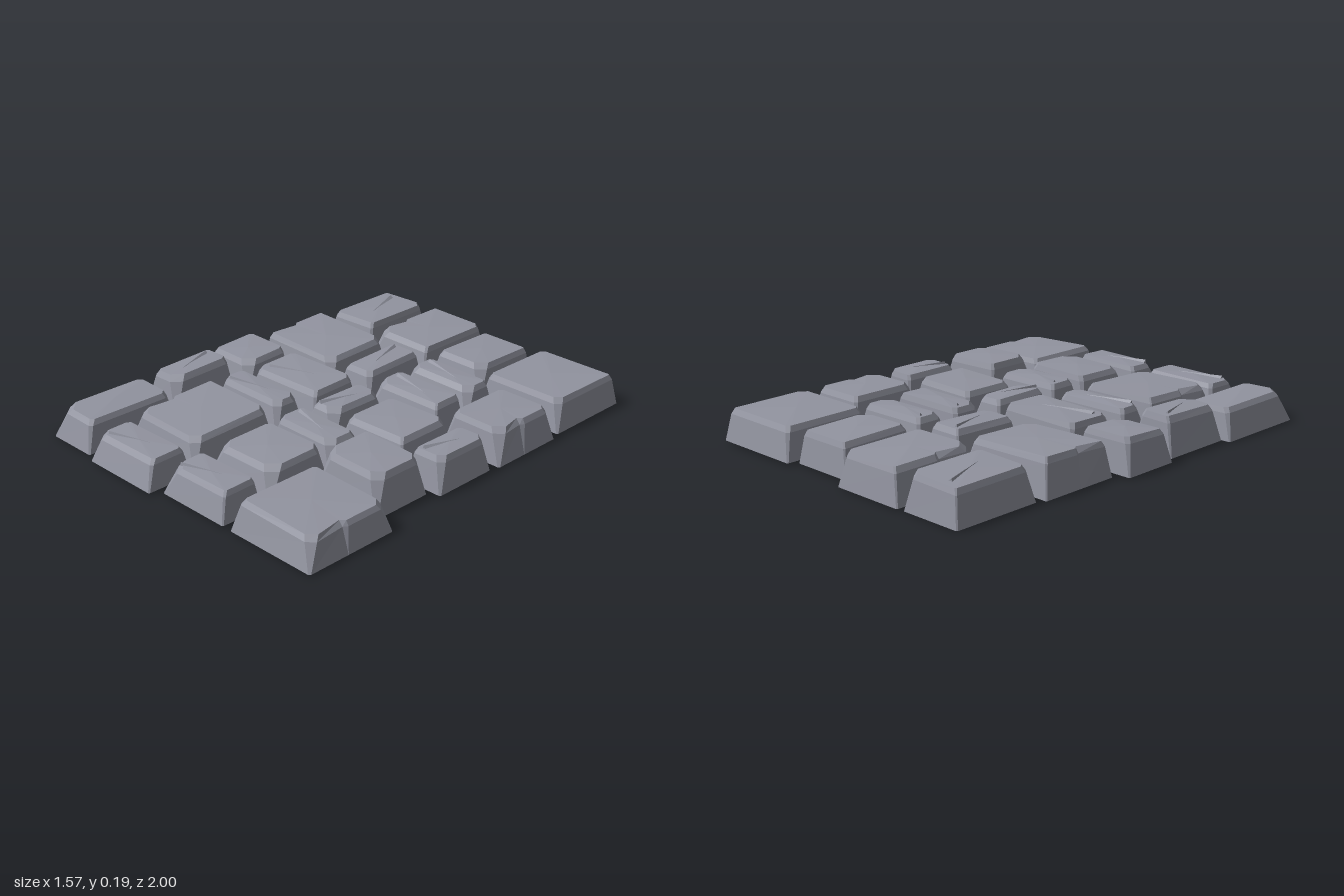
import * as THREE from 'three';
import { ConvexGeometry } from 'three/addons/geometries/ConvexGeometry.js';

const material = new THREE.MeshStandardMaterial({ color: 0x9294a0, flatShading: true });

// Courses from back to front. Each stone: left, right, back, front, mark, height (0.155 if omitted).
// Marks: '\\' or '/' is a crack in that direction, 'W' or 'E' a dent in the left or right edge
const courses = {
  back: [
    [-0.70, -0.41, -0.99, -0.58, '\\'], [-0.39, -0.04, -1, -0.55, 'W'],
    [-0.02, 0.28, -0.94, -0.57], [0.30, 0.735, -0.98, -0.545],
  ],
  second: [
    [-0.72, -0.26, -0.55, -0.17, 'W'], [-0.23, -0.03, -0.54, -0.18, '\\'],
    [0, 0.39, -0.54, -0.35, '\\'], [0, 0.40, -0.33, -0.14, '\\'], [0.43, 0.74, -0.52, -0.15, 'E'],
  ],
  middle: [
    [-0.78, -0.495, -0.14, 0.13], [-0.48, -0.05, -0.14, 0.14, '/'], [-0.04, 0.14, -0.12, 0.21, '/'],
    [0.15, 0.52, -0.12, 0.20], [0.54, 0.73, -0.11, 0.20, '/'],
  ],
  fourth: [
    [-0.755, -0.55, 0.15, 0.495, '\\', 0.175], [-0.50, -0.09, 0.155, 0.32, '/'],
    [-0.04, 0.33, 0.22, 0.41, '\\'], [0.34, 0.68, 0.22, 0.51, '', 0.177],
    [-0.51, -0.08, 0.34, 0.775, 'W'],
  ],
  front: [
    [-0.04, 0.33, 0.42, 0.74], [-0.785, -0.53, 0.51, 0.97, '', 0.14], [0.345, 0.78, 0.52, 0.955, 'E', 0.138],
    [-0.48, -0.09, 0.78, 1, '/', 0.133], [-0.055, 0.31, 0.76, 0.96, '/', 0.138],
  ],
};

// Small repeatable variation in 0..1
const vary = (i, k) => {
  const v = Math.sin(i * 12.9898 + k * 78.233) * 43758.5453;
  return v - Math.floor(v);
};

// Outline of a stone; t runs from 0 at the ground to 1 at the top, where it is inset and chipped most
function outline([x0, x1, z0, z1, mark], i, t) {
  const inset = (k, size) => (size + 0.018 * vary(i, k)) * t;
  const chip = (k, size) => 0.005 + size * vary(i, k) * Math.min(1, 0.1 + t * 1.2);
  const left = x0 + inset(1, 0.025), right = x1 - inset(2, 0.024);
  const back = z0 + inset(3, 0.018), front = z1 - inset(4, 0.034);
  const a = chip(5, 0.012), b = chip(6, 0.03), c = chip(7, 0.045), d = chip(8, 0.045);
  const dent = 0.018 * t, mid = (z0 + z1) / 2;
  const east = mark === 'E' ? [[right, mid], [right - dent, mid + 0.02]] : [];
  const west = mark === 'W' ? [[left + dent, mid + 0.02], [left, mid]] : [];
  return [
    [left + a, back], [right - b, back], [right, back + b], ...east,
    [right, front - c], [right - c, front], [left + d, front], [left, front - d], ...west,
    [left, back + a],
  ];
}

// Solid stone from three rings: ground, shoulder and top
function stoneBody(stone, i, topY) {
  const base = (i % 4) * 0.003;
  const levels = [
    [0, () => base],
    [0.65, (x, z) => 0.84 * topY(x, z)],
    [1, topY],
  ];
  const rings = levels.map(([t, y]) => outline(stone, i, t).map(([x, z]) => [x, y(x, z), z]));
  const n = rings[0].length;
  const cx = (stone[0] + stone[1]) / 2, cz = (stone[2] + stone[3]) / 2;
  const positions = rings.flat(2).concat(cx, base, cz, cx, topY(cx, cz) + 0.005, cz);
  const index = [];
  for (let k = 0; k < n; k++) {
    const m = (k + 1) % n;
    for (let lo = 0; lo < 2 * n; lo += n) {
      const up = lo + n;
      index.push(lo + m, lo + k, up + k, lo + m, up + k, up + m);
    }
    index.push(3 * n, k, m, 3 * n + 1, 2 * n + m, 2 * n + k);
  }
  const geometry = new THREE.BufferGeometry();
  geometry.setAttribute('position', new THREE.Float32BufferAttribute(positions, 3));
  geometry.setIndex(index);
  const flat = geometry.toNonIndexed();
  flat.computeVertexNormals();
  return flat;
}

// Thin raised sliver slanting along the longer side of the stone
function crackRidge([x0, x1, z0, z1, mark], topY) {
  const w = x1 - x0, d = z1 - z0;
  const point = (along, across, lift) => {
    const [u, v] = w > d ? [along, across] : [across, along];
    const x = x0 + u * w, z = z0 + (mark === '/' ? 1 - v : v) * d;
    return new THREE.Vector3(x, topY(x, z) + lift, z);
  };
  return new ConvexGeometry([
    point(0.14, 0.28, -0.004), point(0.66, 0.58, 0.005),
    point(0.14, 0.38, -0.004), point(0.14, 0.30, 0.012),
  ]);
}

function pavingStone(stone, i) {
  const [x0, x1, z0, z1, mark = '', height = 0.155] = stone;
  const tiltX = (vary(i, 9) - 0.5) * 0.07, tiltZ = (vary(i, 10) - 0.7) * 0.07;
  const topY = (x, z) => height - 0.003 + (x - (x0 + x1) / 2) * tiltX + (z - (z0 + z1) / 2) * tiltZ;

  const group = new THREE.Group();
  group.name = 'pavingStone';
  const addPart = (name, geometry) => {
    const mesh = new THREE.Mesh(geometry, material);
    mesh.name = name;
    group.add(mesh);
  };
  addPart('stoneBody', stoneBody(stone, i, topY));
  if (mark === '/' || mark === '\\') addPart('crackRidge', crackRidge(stone, topY));
  return group;
}

export function createModel() {
  const model = new THREE.Group();
  model.name = 'stonePaving';
  let count = 0;
  for (const [name, stones] of Object.entries(courses)) {
    const course = new THREE.Group();
    course.name = `${name}Course`;
    for (const stone of stones) course.add(pavingStone(stone, count++));
    model.add(course);
  }
  return model;
}
